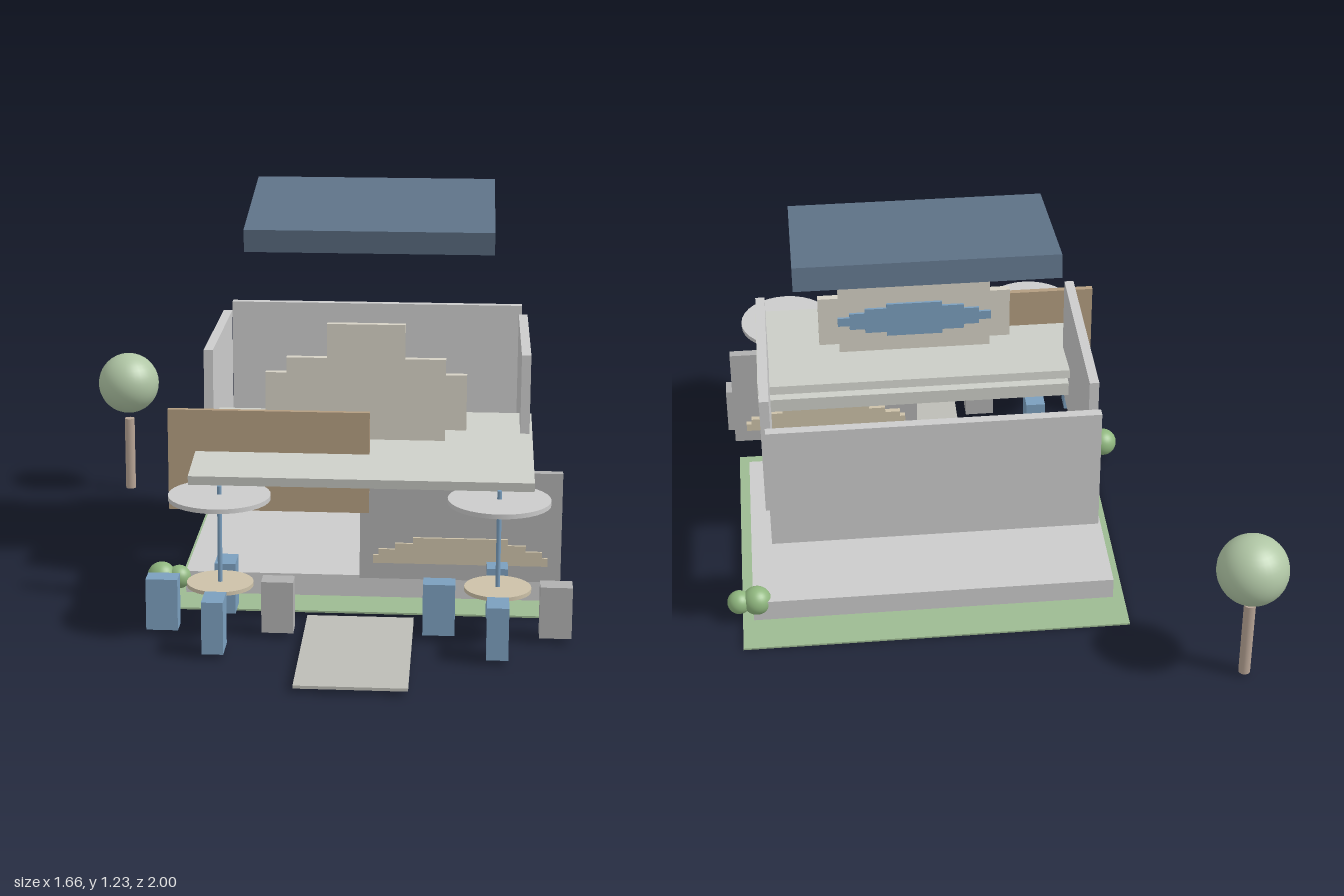
import * as THREE from 'three';

const mat = (color) => new THREE.MeshStandardMaterial({ color });
const M = {
  lawn: mat(0x9dba92), slab: mat(0xcacbcc), path: mat(0xbdbdb6), wall: mat(0xd4d6d8),
  roof: mat(0x5f7388), canopy: mat(0xcdcfc8), counter: mat(0xb0b0b0), wood: mat(0xb39d80),
  beige: mat(0xd6d2c5), sand: mat(0xccc1a8), blue: mat(0x7b9fbe), leaf: mat(0xb0c6a5),
  bush: mat(0x8fb67e), trunk: mat(0xb8a596),
};

export function createModel() {
  const root = new THREE.Group();

  const add = (name, geometry, material, x, y, z, parent = root) => {
    const mesh = new THREE.Mesh(geometry, material);
    mesh.name = name;
    mesh.position.set(x, y, z);
    parent.add(mesh);
    return mesh;
  };
  // box given by its lower and upper limits on each axis
  const box = (name, material, [x0, x1], [y0, y1], [z0, z1], parent) =>
    add(name, new THREE.BoxGeometry(x1 - x0, y1 - y0, z1 - z0), material,
      (x0 + x1) / 2, (y0 + y1) / 2, (z0 + z1) / 2, parent);
  const disc = (name, r, h, material, x, y, z, parent, sides = 32) =>
    add(name, new THREE.CylinderGeometry(r, r, h, sides), material, x, y, z, parent);
  const ball = (name, r, material, x, y, z, parent) =>
    add(name, new THREE.SphereGeometry(r, 32, 20), material, x, y, z, parent);

  // plate with a stepped outline; steps = [half width, half height], tallest first
  const steppedPlate = (name, material, steps, x, y, z, depth, flatBottom = false) => {
    const quarter = [];
    steps.forEach(([w, h], i) => {
      quarter.push([i ? steps[i - 1][0] : 0, h], [w, h]);
    });
    const right = flatBottom
      ? [...quarter, [steps[steps.length - 1][0], 0]]
      : [...quarter, ...quarter.slice().reverse().map(([w, h]) => [w, -h])];
    const left = right.slice().reverse().map(([w, h]) => [-w, h]);
    const pts = [...right.slice(1), ...left.slice(0, -1)].map(([a, b]) => new THREE.Vector2(a, b));
    const unique = pts.filter((p, i) => i === 0 || p.distanceTo(pts[i - 1]) > 1e-6);
    const geometry = new THREE.ExtrudeGeometry(new THREE.Shape(unique), { depth, bevelEnabled: false });
    return add(name, geometry, material, x, y, z);
  };

  // ground
  box('lawn', M.lawn, [-0.415, 0.782], [0, 0.006], [-0.64, 0.347]);
  box('floorSlab', M.slab, [-0.38, 0.747], [0.01, 0.08], [-0.515, 0.217]);
  box('path', M.path, [0.02, 0.345], [0.013, 0.022], [0.43, 1.0]);

  // floating walls
  const wallY = [0.375, 0.78];
  box('rightWall', M.wall, [-0.325, -0.296], wallY, [-0.435, 0.14]);
  box('leftWall', M.wall, [0.661, 0.69], wallY, [-0.435, 0.14]);
  box('backWall', M.wall, [-0.31, 0.675], wallY, [-0.598, -0.57]);

  // tilted roof
  const roof = add('roof', new THREE.BoxGeometry(0.777, 0.073, 0.51), M.roof, 0.184, 1.155, -0.185);
  roof.rotation.x = THREE.MathUtils.degToRad(9.8);

  // sloping awning and the beam under its back edge
  const awning = add('awning', new THREE.BoxGeometry(1.03, 0.028, 0.55), M.canopy, 0.184, 0.503, 0.243);
  awning.rotation.x = Math.atan(0.122);
  box('awningBeam', M.canopy, [-0.331, 0.699], [0.445, 0.49], [-0.015, 0.015]);

  // roof sign with a blue inlay on its back
  steppedPlate('roofSign', M.beige, [[0.12, 0.242], [0.245, 0.135], [0.31, 0.087]],
    0.184, 0.643, 0.187, 0.023);
  steppedPlate('roofSignInlay', M.blue, [[0.09, 0.06], [0.16, 0.045], [0.21, 0.03], [0.248, 0.015]],
    0.184, 0.643, 0.179, 0.01);

  // wooden board and service counter
  box('woodenBoard', M.wood, [-0.415, 0.202], [0.32, 0.637], [0.31, 0.328]);
  box('counterFront', M.counter, [0.174, 0.79], [0.11, 0.457], [0.298, 0.327]);
  steppedPlate('counterSign', M.sand, [[0.145, 0.083], [0.2, 0.064], [0.25, 0.045], [0.267, 0.026]],
    0.482, 0.163, 0.28, 0.056, true);

  // parasol tables, each with four stools turned towards the table
  for (const [side, x, z] of [['right', -0.234, 0.54], ['left', 0.596, 0.528]]) {
    const set = new THREE.Group();
    set.name = `${side}TableSet`;
    set.position.set(x, 0, z);
    root.add(set);
    disc('parasol', 0.153, 0.014, M.slab, 0, 0.43, 0, set);
    disc('parasolPole', 0.007, 0.31, M.blue, 0, 0.307, 0, set, 16);
    disc('tableTop', 0.1, 0.012, M.sand, 0, 0.158, 0, set);
    for (let i = 0; i < 4; i++) {
      const a = (i * Math.PI) / 2;
      const stool = add('stool', new THREE.BoxGeometry(0.064, 0.16, 0.096),
        i === 1 ? M.counter : M.blue, 0.174 * Math.sin(a), 0.095, 0.174 * Math.cos(a), set);
      stool.rotation.y = a;
    }
  }

  // tree and corner bushes
  disc('treeTrunk', 0.018, 0.262, M.trunk, -0.724, 0.14, -0.893, root, 16);
  ball('treeCrown', 0.108, M.leaf, -0.724, 0.403, -0.893);
  for (const [x, y, z, r] of [
    [0.735, 0.067, -0.487, 0.045], [0.79, 0.065, -0.488, 0.037],
    [-0.455, 0.067, 0.23, 0.045], [-0.4, 0.065, 0.228, 0.037],
  ]) ball('bush', r, M.bush, x, y, z);

  return root;
}
